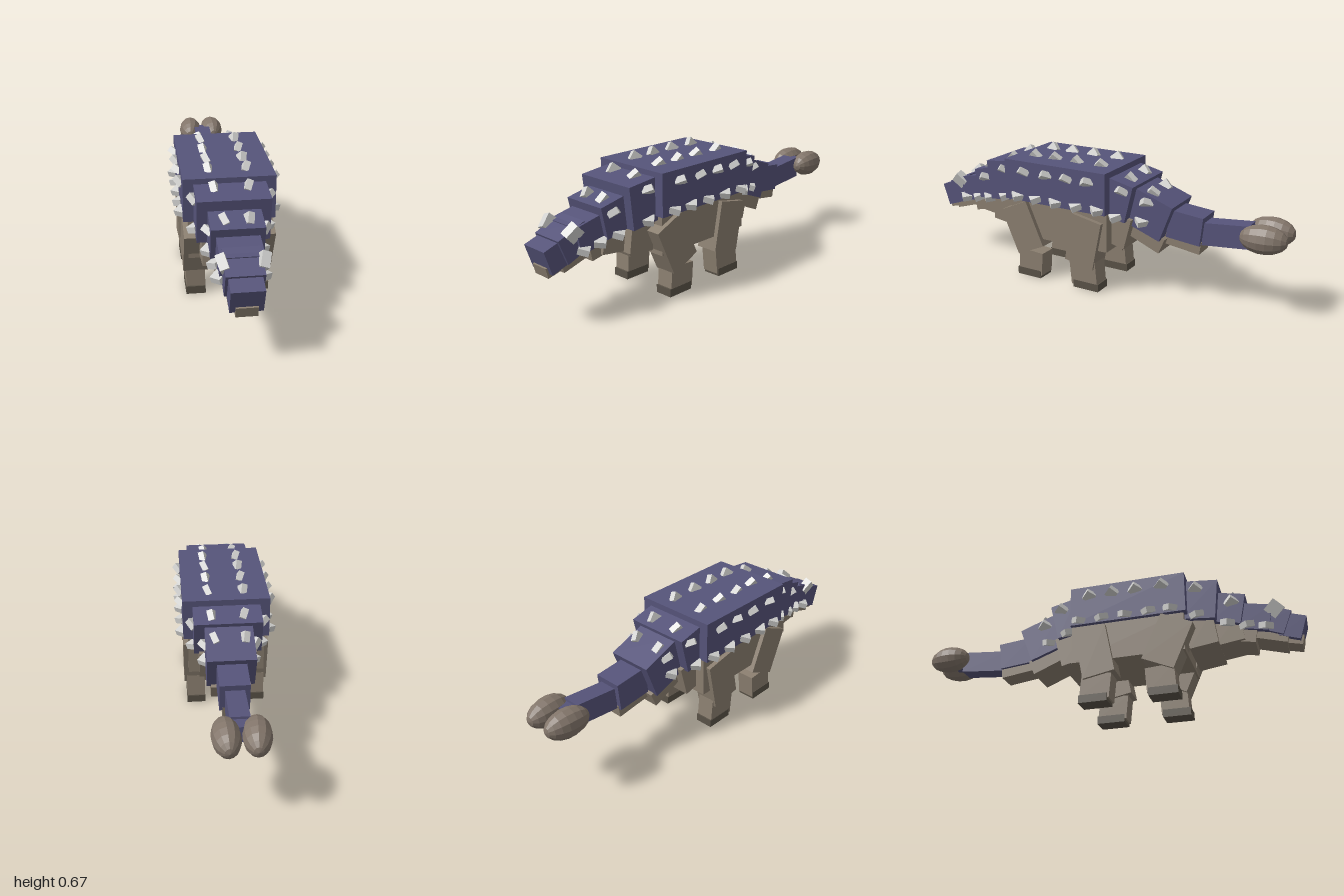
import * as THREE from 'three';

const mat = (name, hex, flat) => {
  const m = new THREE.MeshStandardMaterial({ color: hex, flatShading: !!flat });
  m.name = name;
  return m;
};

export function createModel() {
  const group = new THREE.Group();
  const hide = mat('purple hide', 0x56547a);
  const skin = mat('tan skin', 0x8b7f70);
  const hoof = mat('dark foot', 0x5a5348);
  const bone = mat('tail club brown', 0x82756a, true);
  const horn = mat('pale spike', 0xd2d2d0);

  // Box hanging below a sloped top line from (zF, yF) at the front to (zB, yB) at the back
  const seg = (name, m, half, zF, yF, zB, yB, h, x = 0) => {
    const len = Math.hypot(zF - zB, yF - yB);
    const mesh = new THREE.Mesh(new THREE.BoxGeometry(half * 2, h, len), m);
    const a = -Math.atan2(yF - yB, zF - zB);
    mesh.rotation.x = a;
    mesh.position.set(x, (yF + yB) / 2 - Math.cos(a) * h / 2, (zF + zB) / 2 - Math.sin(a) * h / 2);
    mesh.name = name;
    group.add(mesh);
    return mesh;
  };

  // Armoured back, from snout to tail
  [
    ['snout', 0.071, 1.0, 0.372, 0.9, 0.405, 0.122],
    ['head', 0.083, 0.933, 0.405, 0.79, 0.462, 0.128],
    ['neckFront', 0.095, 0.847, 0.444, 0.7, 0.475, 0.135],
    ['neckBack', 0.118, 0.724, 0.51, 0.58, 0.54, 0.158],
    ['shoulders', 0.165, 0.6, 0.585, 0.43, 0.603, 0.208],
    ['back', 0.213, 0.445, 0.627, -0.145, 0.627, 0.21],
    ['hips', 0.165, -0.13, 0.6, -0.27, 0.567, 0.19],
    ['tailBase', 0.115, -0.23, 0.562, -0.455, 0.48, 0.19],
    ['tailMiddle', 0.07, -0.42, 0.457, -0.595, 0.44, 0.142],
    ['tailEnd', 0.045, -0.57, 0.41, -0.81, 0.433, 0.112],
    ['clubStem', 0.03, -0.78, 0.42, -0.87, 0.425, 0.075],
  ].forEach(([n, ...p]) => seg(n, hide, ...p));

  // Soft underside
  [
    ['jaw', 0.047, 0.98, 0.285, 0.88, 0.31, 0.05],
    ['jawBase', 0.068, 0.92, 0.32, 0.75, 0.37, 0.075],
    ['throat', 0.08, 0.775, 0.375, 0.65, 0.4, 0.115],
    ['lowerNeck', 0.095, 0.686, 0.42, 0.54, 0.4, 0.14],
    ['chest', 0.14, 0.56, 0.43, 0.42, 0.41, 0.17],
    ['belly', 0.19, 0.43, 0.425, -0.143, 0.425, 0.205],
    ['rump', 0.14, -0.09, 0.43, -0.25, 0.39, 0.16],
    ['underTailBase', 0.095, -0.18, 0.4, -0.41, 0.305, 0.08],
    ['underTail', 0.055, -0.4, 0.34, -0.585, 0.315, 0.065],
  ].forEach(([n, ...p]) => seg(n, skin, ...p));

  // Pale box set on edge, leaning outwards
  const spikeGeo = new THREE.BoxGeometry(0.03, 0.052, 0.052).rotateX(Math.PI / 4);
  const spike = (name, x, y, z, lean, yaw, size = 1) => {
    const s = new THREE.Mesh(spikeGeo, horn);
    s.position.set(x, y, z);
    s.rotation.set(0, yaw, -lean);
    s.rotation.order = 'ZYX';
    s.scale.setScalar(size);
    s.name = name;
    group.add(s);
  };

  const rows = {
    topSpike: [0.38, [
      [0.085, 0.627, 0.34], [0.085, 0.627, 0.22], [0.085, 0.627, 0.09], [0.085, 0.627, -0.05],
      [0.075, 0.597, 0.485], [0.053, 0.523, 0.66], [0.075, 0.58, -0.21], [0.07, 0.525, -0.33]]],
    upperSideSpike: [0.95, [
      [0.213, 0.572, 0.33], [0.213, 0.572, 0.195], [0.213, 0.572, 0.075], [0.213, 0.572, -0.045],
      [0.165, 0.552, 0.49], [0.118, 0.475, 0.655], [0.165, 0.54, -0.21], [0.115, 0.487, -0.32]]],
    lowerSideSpike: [1.85, [
      [0.213, 0.44, 0.37], [0.213, 0.44, 0.26], [0.213, 0.44, 0.14], [0.213, 0.44, 0.02],
      [0.213, 0.44, -0.1], [0.165, 0.408, 0.49], [0.118, 0.367, 0.63], [0.1, 0.35, 0.72],
      [0.095, 0.335, 0.81], [0.165, 0.405, -0.175], [0.115, 0.388, -0.295]]],
  };

  for (const s of [1, -1]) {
    const side = s > 0 ? 'left' : 'right';

    for (const [name, [lean, spots]] of Object.entries(rows))
      spots.forEach(([x, y, z], i) => spike(`${side}_${name}`, s * x, y, z, s * lean, 0.15 * (i % 2 ? 1 : -1)));
    spike(`${side}_headHorn`, s * 0.083, 0.425, 0.855, s * 0.35, 0, 1.35);

    // Legs
    const x = s * 0.154;
    seg(`${side}_frontThigh`, skin, 0.059, 0.477, 0.348, 0.322, 0.417, 0.25, x);
    seg(`${side}_frontShin`, skin, 0.046, 0.375, 0.15, 0.233, 0.14, 0.125, x);
    seg(`${side}_frontFoot`, hoof, 0.047, 0.391, 0.04, 0.248, 0.04, 0.04, x);
    seg(`${side}_hindThigh`, skin, 0.059, 0.0375, 0.4, -0.123, 0.369, 0.255, x);
    seg(`${side}_hindShin`, skin, 0.046, 0.067, 0.14, -0.082, 0.155, 0.125, x);
    seg(`${side}_hindFoot`, hoof, 0.047, 0.045, 0.04, -0.1, 0.04, 0.04, x);

    // Tail club lobe
    const lobe = new THREE.Mesh(new THREE.SphereGeometry(1, 12, 9).rotateX(Math.PI / 2), bone);
    lobe.scale.set(0.064, 0.07, 0.112);
    lobe.position.set(s * 0.065, 0.392, -0.888);
    lobe.rotation.y = s * 0.06;
    lobe.name = `${side}_tailClub`;
    group.add(lobe);
  }
  return group;
}
